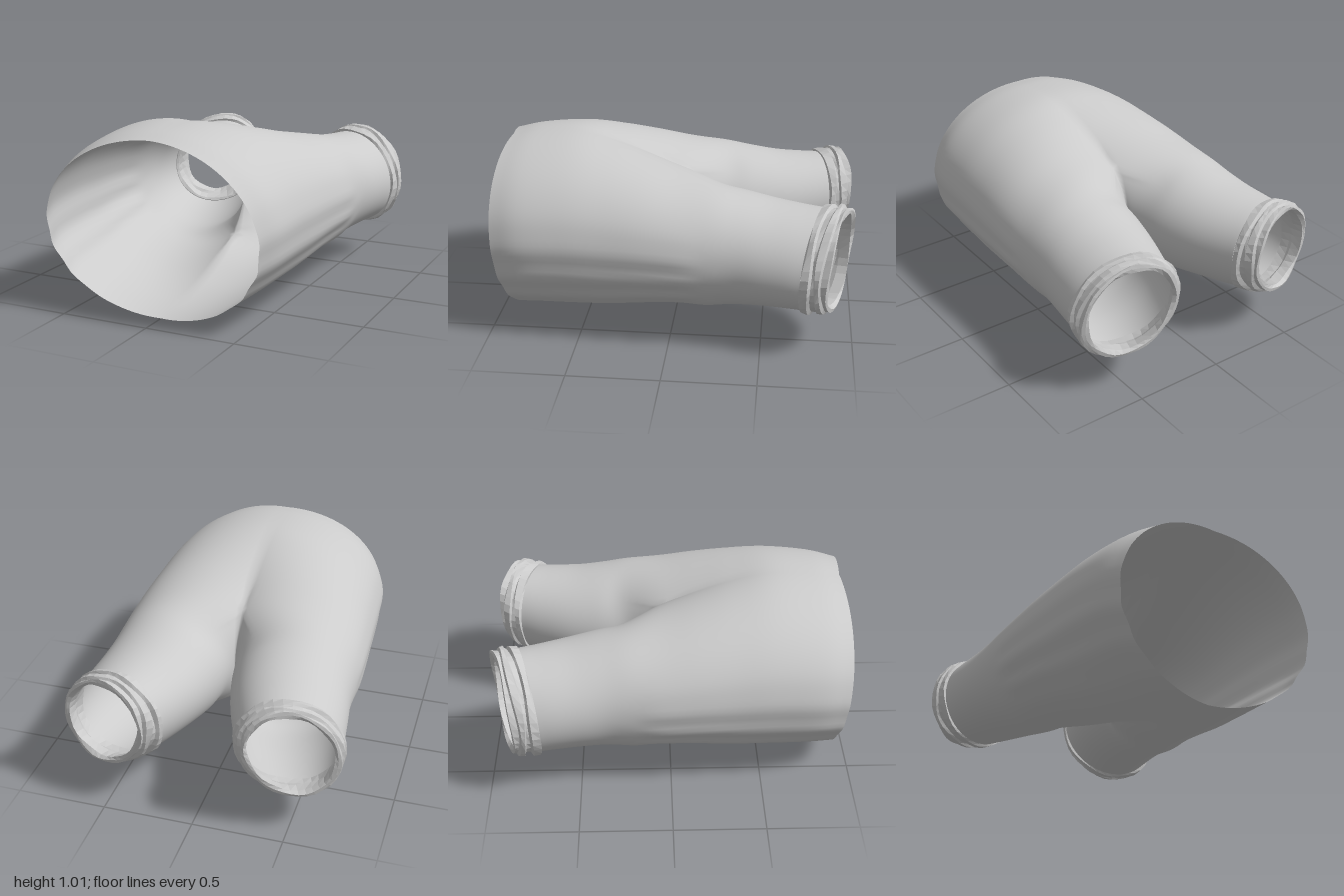
import * as THREE from 'three';
import { mergeGeometries, mergeVertices } from 'three/addons/utils/BufferGeometryUtils.js';

const OUTER = 52, INNER = 20, STEPS = 5;        // columns outside, columns on the inner thigh, rows per section
const COLS = OUTER + INNER;
const CROTCH_ANGLE = rad(130);

function rad(d) { return d * Math.PI / 180; }

// Angle of a column: 0..OUTER runs top centre -> side -> bottom centre, the rest closes the leg.
function angleOf(c, a0) {
  return c <= OUTER ? a0 - 2 * a0 * c / OUTER
    : -a0 - (2 * Math.PI - 2 * a0) * (c - OUTER) / INNER;
}

// Soft lengthwise pleats low on the outer side
function pleat(a) {
  const d = (a + 0.5) / 0.55;
  return 1 + 0.012 * Math.sin(17 * a) * Math.exp(-d * d);
}

// Hip sections: [zTop, zBottom, side bulge, yTop, yBottom, half width, start angle]
const HIPS = [
  [0.95, 0.84, 0.06, 0.97, 0, 0.615, 90],
  [0.8, 0.72, 0.04, 1.0, 0.018, 0.66, 91],
  [0.56, 0.54, 0.01, 1.01, 0.035, 0.68, 95],
  [0.35, 0.34, 0, 0.97, 0.07, 0.69, 105],
  [0.15, 0.14, 0, 0.92, 0.115, 0.70, 117],
  [-0.05, -0.05, 0, 0.87, 0.145, 0.705, 130],
];

// Leg sections: [xInner, zInner, xOuter, zOuter, yTop, yBottom, slant]
const LEGS = [
  [0.014, -0.25, 0.70, -0.2, 0.83, 0.16, 0],
  [0.04, -0.40, 0.70, -0.34, 0.80, 0.18, 0],
  [0.09, -0.58, 0.715, -0.48, 0.77, 0.20, 0.01],
  [0.15, -0.74, 0.73, -0.62, 0.755, 0.21, 0.02],
  [0.20, -0.86, 0.735, -0.70, 0.75, 0.215, 0.03],
];
const CUFF_END = [0.27, -0.985, 0.757, -0.84, 0.775, 0.235, 0.04];

function hipPoint([zT, zB, bulge, yT, yB, w, deg], c) {
  const a0 = rad(deg), a = angleOf(c, a0), s = Math.sin(a), k = Math.cos(a0);
  const y = (yT + yB) / 2 + (yT - yB) / 2 * s;
  const z = (zT + zB) / 2 + (zT - zB) / 2 * s;
  if (c > OUTER) {                               // saddle between the legs
    const u = (c - OUTER) / INNER;
    return new THREE.Vector3(0, y, z - 0.135 * Math.sin(Math.PI * u));
  }
  const x = w * (Math.cos(a) - k) / (1 - k) * pleat(a);
  return new THREE.Vector3(x, y, z + bulge * Math.max(0, Math.cos(a)));
}

function legPoint([xi, zi, xo, zo, yT, yB, slant], c, scale = 1) {
  const a = angleOf(c, CROTCH_ANGLE), s = Math.sin(a) * scale, k = Math.cos(a) * scale;
  return new THREE.Vector3(
    (xi + xo) / 2 + (xo - xi) / 2 * k - slant * s,
    (yT + yB) / 2 + (yT - yB) / 2 * s,
    (zi + zo) / 2 + (zo - zi) / 2 * k - 0.02 * s);
}

// Skin a list of point rows; closed rows wrap around.
function skin(rows, closed) {
  const n = rows[0].length, pos = [], index = [];
  rows.forEach(row => row.forEach(p => pos.push(p.x, p.y, p.z)));
  for (let r = 0; r < rows.length - 1; r++) {
    for (let c = 0; c < (closed ? n : n - 1); c++) {
      const a = r * n + c, b = r * n + (c + 1) % n;
      index.push(a, b, a + n, b, b + n, a + n);
    }
  }
  const g = new THREE.BufferGeometry();
  g.setAttribute('position', new THREE.Float32BufferAttribute(pos, 3));
  g.setIndex(index);
  return g;
}

function mirrored(geometry) {
  const g = geometry.clone().scale(-1, 1, 1), id = g.index.array;
  for (let i = 0; i < id.length; i += 3) [id[i], id[i + 1]] = [id[i + 1], id[i]];
  return g;
}

// One half of the garment: open hip half plus closed leg, sharing the crotch row
function halfShorts() {
  const crotch = HIPS.length - 1, hipRows = [], legRows = [];
  const split = crotch * STEPS, last = (crotch + LEGS.length) * STEPS;
  for (let r = 0; r <= last; r++) (r <= split ? hipRows : legRows).push([]);
  legRows.unshift([]);
  for (let c = 0; c < COLS; c++) {
    const inner = c > OUTER, legs = LEGS.map(l => legPoint(l, c));
    const hips = (inner ? [HIPS[crotch]] : HIPS).map(h => hipPoint(h, c));
    const curve = new THREE.CatmullRomCurve3([...hips, ...legs], false, 'catmullrom', 0.5);
    const start = inner ? split : 0;
    for (let r = start; r <= last; r++) {
      const p = curve.getPoint((r - start) / (last - start));
      if (r <= split && (c === 0 || c >= OUTER)) p.x = 0;
      if (r <= split && !inner) hipRows[r].push(p);
      if (r >= split) legRows[r - split].push(p);
    }
  }
  return mergeGeometries([skin(hipRows, false), skin(legRows, true)]);
}

// Crumpled, folded hem: [position along the cuff, scale], ending inside the leg
const FOLDS = [[0, 0.99], [0.03, 1.05], [0.28, 1.07], [0.36, 1.0], [0.5, 1.01], [0.56, 1.06],
  [0.76, 1.05], [0.82, 0.99], [1, 1.0], [1.03, 0.94], [0.97, 0.87], [0.55, 0.88], [0.4, 0.92], [0, 0.93]];

function cuffGeometry() {
  const from = LEGS[LEGS.length - 1];
  const rows = FOLDS.map(([t, scale], i) => {
    const row = [];
    for (let c = 0; c < COLS; c += 2) {
      const a = angleOf(c, CROTCH_ANGLE), edge = i === 0 ? 0 : 1;
      const s = t + edge * 0.05 * Math.sin(3 * a + (i >> 1) * 1.7);
      const k = scale + edge * 0.014 * Math.sin(7 * a + i * 1.3);
      row.push(legPoint(from.map((v, j) => v + (CUFF_END[j] - v) * s), c, k));
    }
    return row;
  });
  return skin(rows, true);
}

export function createModel() {
  const group = new THREE.Group();
  const add = (name, geometry, flatShading) => {
    geometry.computeVertexNormals();
    const material = new THREE.MeshStandardMaterial({ color: 0xcccccc, side: THREE.DoubleSide, flatShading });
    const mesh = new THREE.Mesh(geometry, material);
    mesh.name = name;
    group.add(mesh);
  };

  // Hips and both legs as one smooth shell
  const half = halfShorts();
  add('shortsBody', mergeVertices(mergeGeometries([half, mirrored(half)]), 1e-4), false);

  // Folded hems
  const cuff = cuffGeometry();
  add('leftCuff', cuff, true);
  add('rightCuff', mirrored(cuff), true);
  return group;
}
